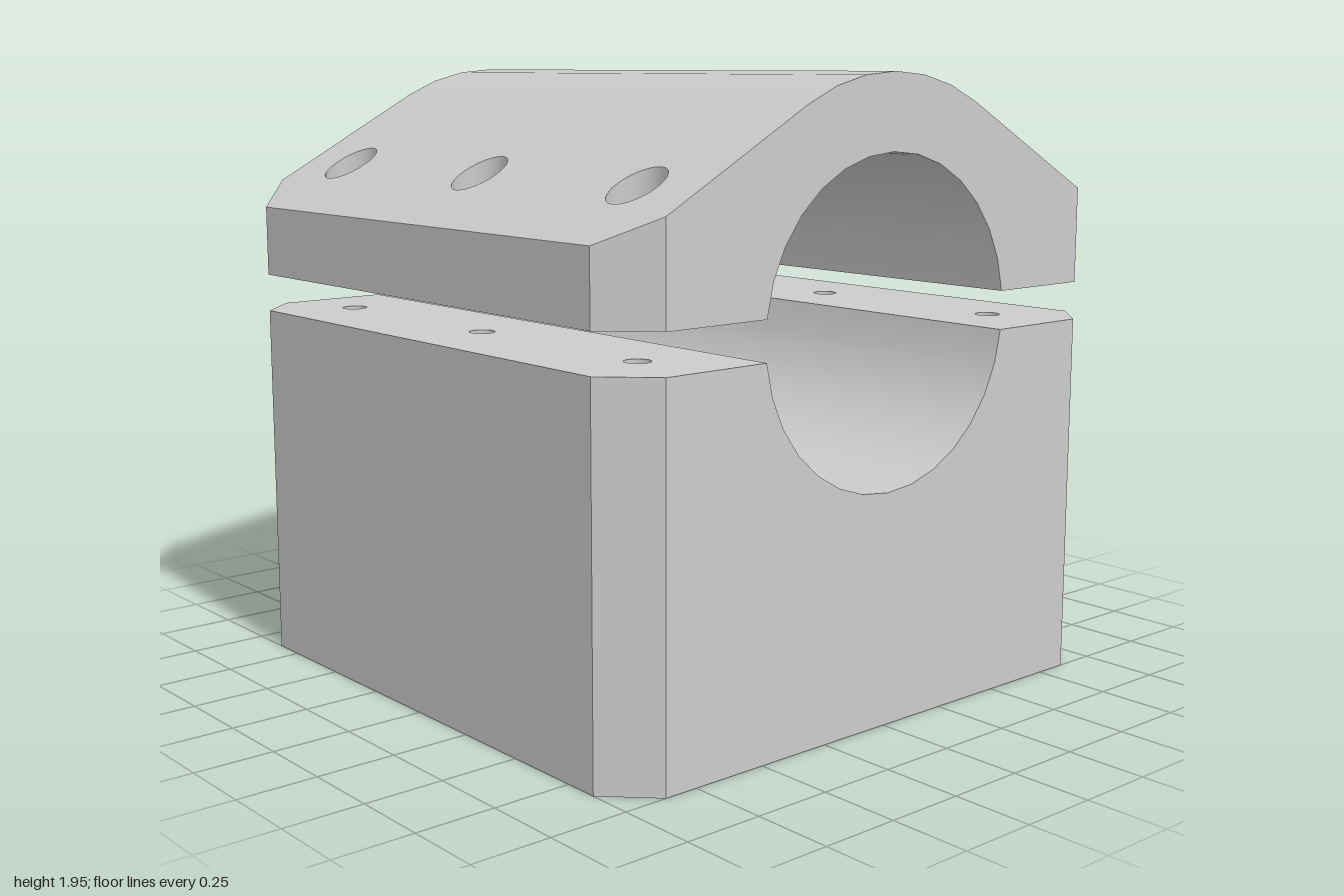
import * as THREE from 'three';
import { mergeGeometries, toCreasedNormals } from 'three/addons/utils/BufferGeometryUtils.js';

const BORE_Y = 1.217, BORE_R = 0.5, HALF_GAP = 0.06;
const CAP_LOW = BORE_Y + HALF_GAP, BASE_TOP = BORE_Y - HALF_GAP;
const SEAM = Math.sqrt(BORE_R ** 2 - HALF_GAP ** 2); // where the bore meets the split
const CHAMFER = 0.86;
const CROWN_R = 0.728, CROWN_A = THREE.MathUtils.degToRad(61.35);
const BOLT = 0.744, BOLT_ROWS = [-BOLT, 0, BOLT];

// Height of the sloping shoulders of the cap
const shoulder = x => BORE_Y + (CROWN_R - Math.abs(x) * Math.cos(CROWN_A)) / Math.sin(CROWN_A);
const level = y => () => y;
const v2 = (x, y) => new THREE.Vector2(x, y);

function arc(cx, cy, r, from, to, n) {
  return Array.from({ length: n + 1 }, (_, i) => {
    const a = from + (to - from) * i / n;
    return v2(cx + r * Math.cos(a), cy + r * Math.sin(a));
  });
}
const circle = (cx, cy, r) => arc(cx, cy, r, Math.PI * 2, 0, 24); // clockwise, so walls face inward

// Keep positions only, dropping triangles that lie wholly on a hidden joint
function bare(geo, hidden = () => false) {
  const p = (geo.index ? geo.toNonIndexed() : geo).attributes.position;
  const out = [];
  for (let i = 0; i < p.count; i += 3) {
    const tri = [0, 1, 2].map(k => new THREE.Vector3().fromBufferAttribute(p, i + k));
    if (!hidden(tri)) tri.forEach(v => out.push(v.x, v.y, v.z));
  }
  return new THREE.BufferGeometry().setAttribute('position', new THREE.Float32BufferAttribute(out, 3));
}

// Horizontal or sloping face with holes; up = 1 faces upward, -1 downward
function face(outline, holes, height, up) {
  const shape = new THREE.Shape(outline);
  shape.holes = holes.map(h => new THREE.Path(h.slice(0, -1)));
  const geo = new THREE.ShapeGeometry(shape).rotateX(-up * Math.PI / 2);
  const p = geo.attributes.position;
  for (let i = 0; i < p.count; i++) p.setY(i, height(p.getX(i)));
  return bare(geo);
}

// Upright wall along plan points (x, -z), between two heights
function wall(points, low, high) {
  const out = [];
  for (let i = 0; i + 1 < points.length; i++) {
    const a = points[i], b = points[i + 1];
    const at = (p, h) => [p.x, h(p.x), -p.y];
    out.push(...at(a, low), ...at(b, low), ...at(b, high),
      ...at(a, low), ...at(b, high), ...at(a, high));
  }
  return new THREE.BufferGeometry().setAttribute('position', new THREE.Float32BufferAttribute(out, 3));
}

// Plan of one side, from seam round the chamfered corners to seam
const sidePlan = s => [[SEAM, -1], [CHAMFER, -1], [1, -CHAMFER], [1, CHAMFER], [CHAMFER, 1], [SEAM, 1]]
  .map(([x, y]) => v2(s * x, s * y));

// Middle section between the seams, extruded along z
function middle(profile, hidden) {
  const geo = new THREE.ExtrudeGeometry(new THREE.Shape(profile), { depth: 2, bevelEnabled: false });
  geo.translate(0, 0, -1);
  return bare(geo, t => t.every(v => Math.abs(Math.abs(v.x) - SEAM) < 1e-4) &&
    Math.abs(t[0].x - t[1].x) + Math.abs(t[0].x - t[2].x) < 1e-3 || hidden(t));
}

function part(name, pieces) {
  const geo = toCreasedNormals(mergeGeometries(pieces), 0.5);
  const mesh = new THREE.Mesh(geo, new THREE.MeshStandardMaterial({ color: 0xcccccc }));
  mesh.name = name;
  return mesh;
}

function clampCap() {
  const SINK = 0.086, CLEAR = 0.05, FLOOR = 1.45;
  const a = Math.asin(HALF_GAP / BORE_R);
  // Rounded crown over the upper half of the bore
  const pieces = [middle([
    v2(SEAM, shoulder(SEAM)),
    ...arc(0, BORE_Y, CROWN_R, CROWN_A, Math.PI - CROWN_A, 6),
    v2(-SEAM, shoulder(SEAM)),
    ...arc(0, BORE_Y, BORE_R, Math.PI - a, a, 14),
  ], () => false)];
  for (const s of [1, -1]) {
    const plan = sidePlan(s);
    const rings = r => BOLT_ROWS.map(z => circle(s * BOLT, z, r));
    pieces.push(
      face(plan, rings(SINK), shoulder, 1),
      face(plan, rings(CLEAR), level(CAP_LOW), -1),
      wall(plan, level(CAP_LOW), shoulder));
    // Counterbored bolt holes
    rings(SINK).forEach((sink, i) => {
      const clear = rings(CLEAR)[i];
      pieces.push(
        wall(sink, level(FLOOR), shoulder),
        face(sink.slice(0, -1), [clear], level(FLOOR), 1),
        wall(clear, level(CAP_LOW), level(FLOOR)));
    });
  }
  return part('clampCap', pieces);
}

function clampBase() {
  const TAP = 0.04, TAP_FLOOR = 0.5, PIN = 0.03, PIN_DEPTH = 0.2;
  const a = Math.asin(HALF_GAP / BORE_R);
  // Saddle under the lower half of the bore
  const pieces = [middle([
    v2(-SEAM, 0), v2(SEAM, 0),
    ...arc(0, BORE_Y, BORE_R, -a, a - Math.PI, 14),
  ], t => t.every(v => Math.abs(v.y) < 1e-4))];
  for (const s of [1, -1]) {
    const plan = sidePlan(s);
    const taps = BOLT_ROWS.map(z => circle(s * BOLT, z, TAP));
    pieces.push(face(plan, taps, level(BASE_TOP), 1), wall(plan, level(0), level(BASE_TOP)));
    // Blind threaded holes below the cap bolts
    for (const tap of taps) pieces.push(
      wall(tap, level(TAP_FLOOR), level(BASE_TOP)),
      face(tap.slice(0, -1), [], level(TAP_FLOOR), 1));
  }
  // Underside with two interleaved triangles of blind mounting holes
  const mounts = [];
  for (let i = 0; i < 6; i++) {
    const r = i % 2 ? 0.65 : 0.8, t = -Math.PI / 2 + i * Math.PI / 3;
    mounts.push([r * Math.cos(t), r * Math.sin(t)]); // x, z
  }
  const octagon = [...sidePlan(1).slice(1, 5), ...sidePlan(-1).slice(1, 5)];
  pieces.push(face(octagon, mounts.map(([x, z]) => circle(x, z, PIN)), level(0), -1));
  for (const [x, z] of mounts) {
    const ring = circle(x, -z, PIN);
    pieces.push(
      wall(ring, level(0), level(PIN_DEPTH)),
      face(circle(x, z, PIN).slice(0, -1), [], level(PIN_DEPTH), -1));
  }
  return part('clampBase', pieces);
}

export function createModel() {
  const model = new THREE.Group();
  model.name = 'splitBearingBlock';
  model.add(clampBase(), clampCap());
  return model;
}
